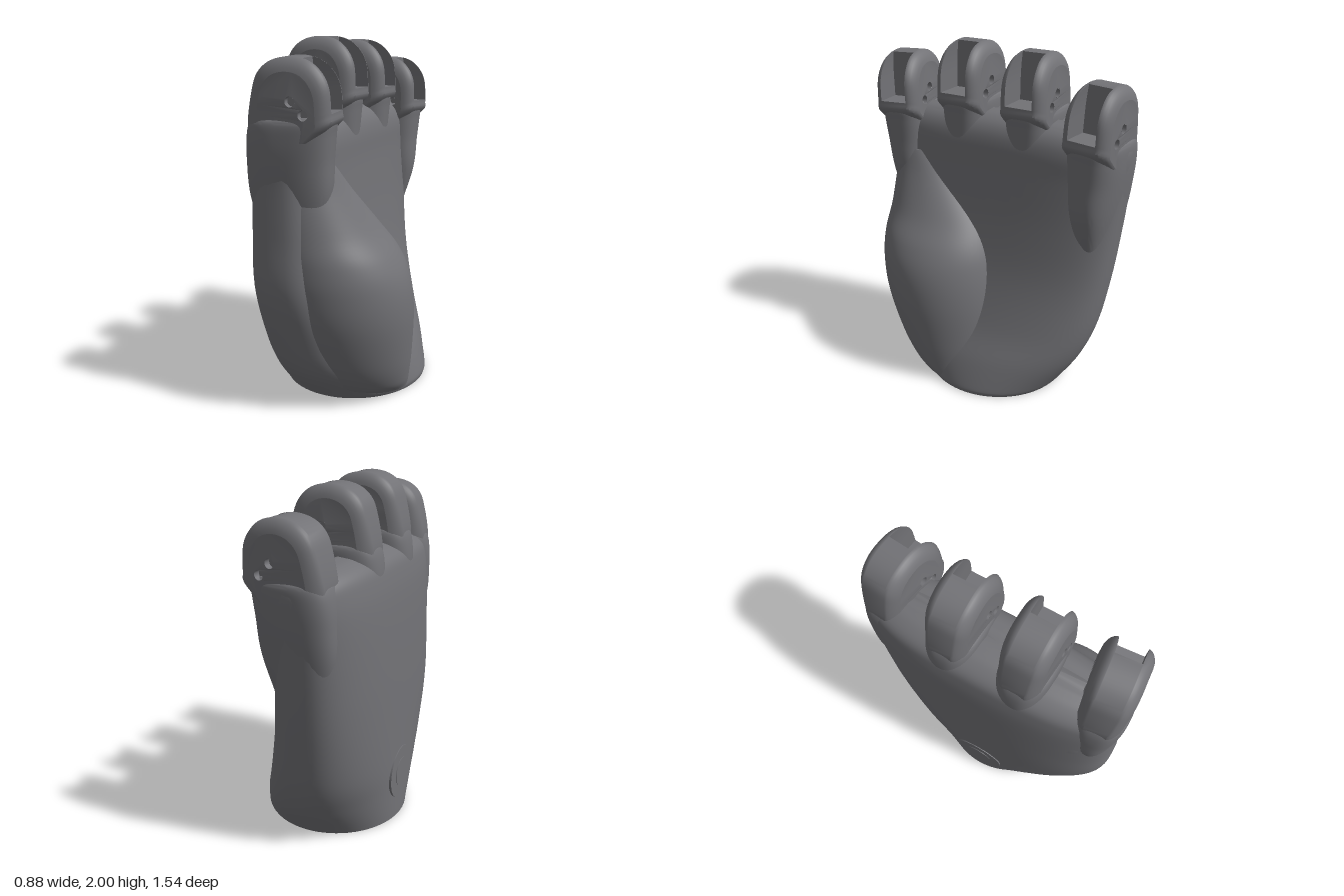
import * as THREE from 'three';
import { toCreasedNormals } from 'three/addons/utils/BufferGeometryUtils.js';

const dark = new THREE.MeshStandardMaterial({ color: 0x727276 });
const darkDouble = new THREE.MeshStandardMaterial({ color: 0x727276, side: THREE.DoubleSide });

function addMesh(parent, name, geometry, material = dark) {
  const mesh = new THREE.Mesh(geometry, material);
  mesh.name = name;
  parent.add(mesh);
  return mesh;
}

// Skin a stack of closed rings, optionally closing both ends
function loft(rings, capped) {
  const n = rings[0].length, pos = [], idx = [];
  rings.forEach(r => r.forEach(p => pos.push(p.x, p.y, p.z)));
  for (let i = 0; i < rings.length - 1; i++) {
    for (let j = 0; j < n; j++) {
      const a = i * n + j, b = i * n + (j + 1) % n;
      idx.push(a, b, a + n, b, b + n, a + n);
    }
  }
  if (capped) {
    [0, rings.length - 1].forEach(i => {
      const c = new THREE.Vector3();
      rings[i].forEach(p => c.addScaledVector(p, 1 / n));
      const k = pos.length / 3;
      pos.push(c.x, c.y, c.z);
      for (let j = 0; j < n; j++) {
        const a = i * n + j, b = i * n + (j + 1) % n;
        if (i === 0) idx.push(k, b, a); else idx.push(k, a, b);
      }
    });
  }
  const g = new THREE.BufferGeometry();
  g.setAttribute('position', new THREE.Float32BufferAttribute(pos, 3));
  g.setIndex(idx);
  return g;
}

// Body from horizontal superellipse sections: [y, back x, front x, min z, max z, exponent]
function body(rows, arch, steps = 6, n = 72) {
  const spline = new THREE.CubicInterpolant(rows.map((_, i) => i), rows.flat(), 6, new Float32Array(6));
  const pw = (v, e) => Math.sign(v) * Math.pow(Math.abs(v), e);
  const rings = [];
  for (let i = 0; i <= (rows.length - 1) * steps; i++) {
    const [y, xb, xf, z0, z1, e] = Array.from(spline.evaluate(i / steps));
    const ring = [];
    for (let j = 0; j < n; j++) {
      const a = (j / n) * Math.PI * 2;
      const z = (z0 + z1) / 2 - (z1 - z0) / 2 * pw(Math.sin(a), 2 / e);
      const x = (xb + xf) / 2 + (xf - xb) / 2 * pw(Math.cos(a), 2 / e);
      const s = (z / 0.77) ** 2;
      ring.push(new THREE.Vector3(
        x + 0.4 * arch * s * Math.min(y, 1),
        y + arch * (1 - s) * Math.pow(y / 1.6, 6),
        z));
    }
    rings.push(ring);
  }
  return toCreasedNormals(loft(rings, true), 0.7);
}

// Knuckle outline, seen from the side, counter-clockwise
const SLOT_Y = 1.64;
function knuckleOutline() {
  const front = [[0.05, 1.5], [0.12, 1.56], [0.145, 1.585], [0.152, 1.605], [0.148, 1.62], [0.148, SLOT_Y]];
  const over = [[0.148, SLOT_Y + 0.001], [0.14, 1.76], [0.1, 1.84], [0.03, 1.893], [-0.07, 1.91],
    [-0.17, 1.888], [-0.24, 1.83], [-0.275, 1.74], [-0.305, 1.6], [-0.305, 1.5]];
  const v = p => new THREE.Vector2(...p);
  return [...front.map(v), ...new THREE.SplineCurve(over.map(v)).getPoints(44)];
}

// Narrow the knuckle towards its tip and its back
function taper(g) {
  const p = g.attributes.position;
  for (let i = 0; i < p.count; i++) {
    const x = p.getX(i), y = p.getY(i);
    const back = Math.max(0, (-0.08 - x) / 0.2), tip = Math.max(0, (y - 1.75) / 0.16);
    p.setZ(i, p.getZ(i) * (1.06 - 0.18 * (y - 1.2)) * (1 - 0.22 * back * back) * (1 - 0.12 * tip * tip));
  }
  return g;
}

function knuckle(name, slotX) {
  const group = new THREE.Group();
  group.name = name;
  const outline = knuckleOutline();
  const inset = d => outline.map(p => new THREE.Vector2(
    -0.08 + (p.x + 0.08) * (1 - d / 0.24), 1.5 + (p.y - 1.5) * (1 - d / 0.42)));
  const at = (pts, z) => pts.map(p => new THREE.Vector3(p.x, p.y, z));
  const notched = outline.map(p => new THREE.Vector2(p.y > SLOT_Y ? Math.min(p.x, slotX) : p.x, p.y));

  // Rounded sides with a hinge slot cut through the front of the tip
  const side = [[0.138, 0.07], [0.135, 0.05], [0.127, 0.031], [0.116, 0.016], [0.103, 0.006], [0.088, 0]];
  const half = 0.084;
  const rings = [
    ...side.map(([z, d]) => at(inset(d), -z)),
    at(outline, -half), at(notched, -half), at(notched, half), at(outline, half),
    ...side.slice().reverse().map(([z, d]) => at(inset(d), z))
  ];
  addMesh(group, name + 'Shell', toCreasedNormals(taper(loft(rings, false)), 0.6));

  // Side faces with two blind pin holes
  const holes = [[-0.045, 1.7], [0.02, 1.635]];
  const face = new THREE.Shape(inset(side[0][1]));
  holes.forEach(([x, y]) => face.holes.push(new THREE.Path().absarc(x, y, 0.026, 0, Math.PI * 2, true)));
  for (const s of [1, -1]) {
    const g = taper(new THREE.ShapeGeometry(face, 16).translate(0, 0, side[0][0]));
    if (s < 0) g.scale(1, 1, -1);
    g.computeVertexNormals();
    addMesh(group, name + 'SideFace', g, darkDouble);
    holes.forEach(([x, y]) => {
      const wall = new THREE.CylinderGeometry(0.026, 0.026, 0.04, 20, 1, true).rotateX(Math.PI / 2);
      const floor = new THREE.CircleGeometry(0.026, 20);
      addMesh(group, 'pinHoleWall', taper(wall.translate(x, y, s * 0.118)), darkDouble);
      addMesh(group, 'pinHoleFloor', taper(floor.translate(x, y, s * 0.1)), darkDouble);
    });
  }

  // Stem flowing from the palm into the knuckle
  addMesh(group, name + 'Stem', body([
    [0.95, -0.27, 0.03, -0.08, 0.08, 2.4],
    [1.2, -0.33, 0.105, -0.12, 0.12, 2.5],
    [1.4, -0.335, 0.12, -0.14, 0.14, 2.6],
    [1.52, -0.325, 0.13, -0.143, 0.143, 2.8],
    [1.59, -0.305, 0.135, -0.137, 0.137, 2.9],
    [1.62, -0.28, 0.11, -0.115, 0.115, 2.8]
  ], 0));
  return group;
}

export function createModel() {
  const model = new THREE.Group();
  model.name = 'palm';

  // Flat wrist end rising into the broad palm
  addMesh(model, 'palmBody', body([
    [0, -0.44, 0.4, -0.44, 0.43, 2],
    [0.04, -0.44, 0.4, -0.47, 0.47, 2],
    [0.2, -0.437, 0.35, -0.57, 0.61, 2.1],
    [0.4, -0.433, 0.26, -0.64, 0.69, 2.4],
    [0.7, -0.428, 0.17, -0.69, 0.765, 2.7],
    [1.0, -0.42, 0.12, -0.725, 0.755, 2.9],
    [1.3, -0.405, 0.09, -0.755, 0.745, 3],
    [1.45, -0.385, 0.08, -0.77, 0.755, 3],
    [1.53, -0.355, 0.05, -0.765, 0.75, 2.9],
    [1.575, -0.28, -0.01, -0.73, 0.72, 2.8],
    [1.59, -0.19, -0.09, -0.68, 0.67, 2.8]
  ], 0.045));

  // Thumb mound
  addMesh(model, 'thumbMound', body([
    [0.03, -0.3, 0.375, -0.06, 0.4, 2],
    [0.1, -0.33, 0.392, -0.08, 0.5, 2],
    [0.25, -0.36, 0.415, -0.1, 0.6, 2],
    [0.5, -0.37, 0.435, -0.1, 0.69, 2],
    [0.7, -0.38, 0.42, -0.08, 0.725, 2],
    [0.85, -0.38, 0.36, -0.04, 0.73, 2.1],
    [1.0, -0.38, 0.25, 0.04, 0.725, 2.2],
    [1.2, -0.37, 0.14, 0.22, 0.72, 2.3],
    [1.35, -0.34, 0.08, 0.36, 0.71, 2.4]
  ], 0));

  // Four knuckles: [name, x, y, z, outward turn, slot depth position]
  [
    ['indexKnuckle', 0, 0, 0.615, 1, 0],
    ['middleKnuckle', -0.04, 0.09, 0.205, 0, -0.02],
    ['ringKnuckle', -0.04, 0.07, -0.21, 0, -0.02],
    ['littleKnuckle', 0.01, -0.04, -0.62, -1, -0.01]
  ].forEach(([name, x, y, z, turn, slotX]) => {
    const k = knuckle(name, slotX);
    k.position.set(x, y, z - turn * 0.06);
    k.rotation.set(turn * 0.035, turn * 0.1, 0);
    model.add(k);
  });

  // Round cover plate on the back of the hand
  [[0.16, 0.437], [0.085, 0.44]].forEach(([r, d]) => {
    const plate = addMesh(model, 'coverPlate', new THREE.CylinderGeometry(r, r, 0.02, 40));
    plate.rotation.z = Math.PI / 2;
    plate.position.set(-d + 0.01, 0.27, 0);
  });
  return model;
}
